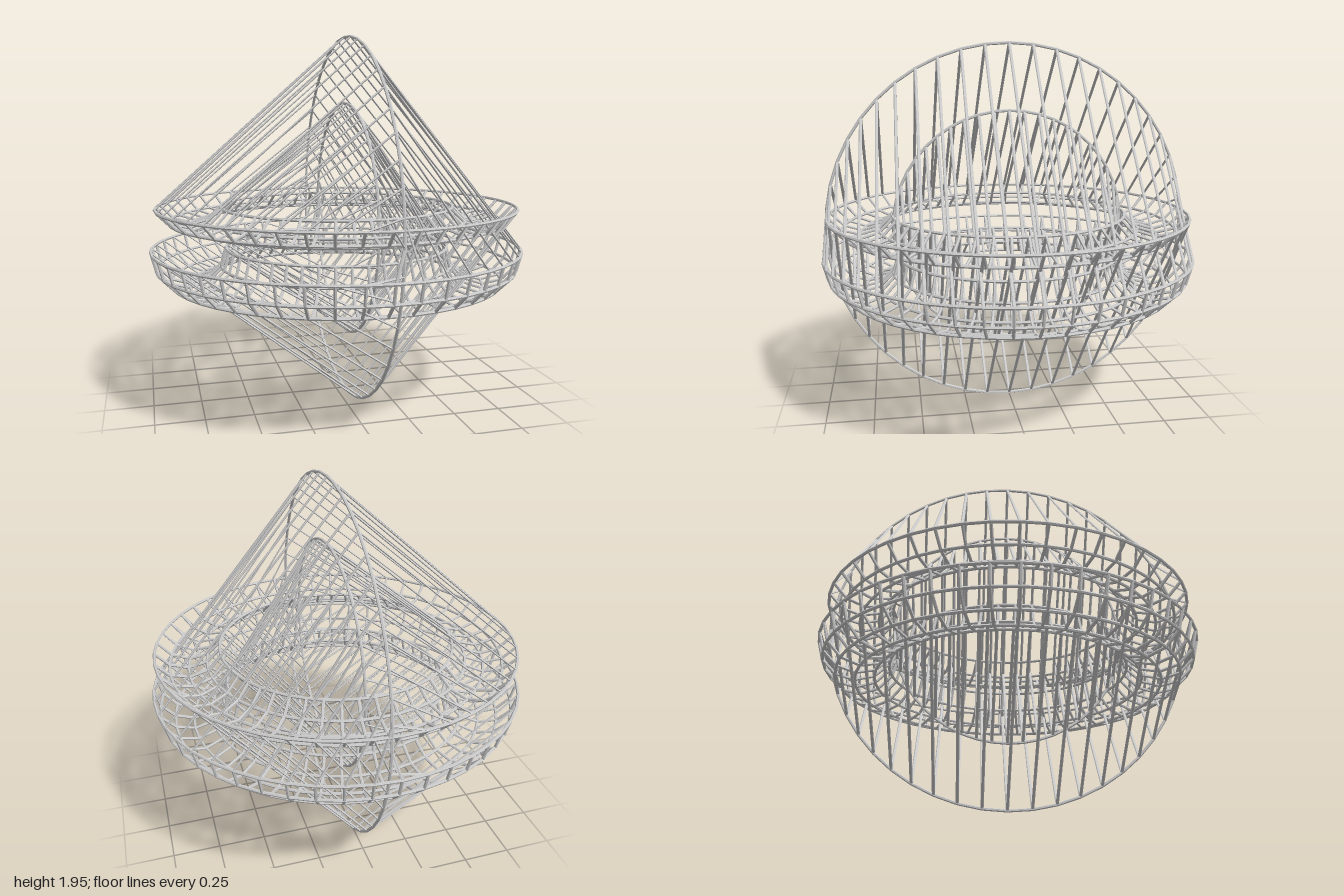
import * as THREE from 'three';
import { mergeGeometries } from 'three/addons/utils/BufferGeometryUtils.js';

const SEG = 48;         // divisions around every ring
const WIRE = 0.008;     // wire radius
const SIDES = 6;
const R = 0.795, TUBE = 0.195;   // channel centre line and section radius
const LOW_Y = 0.828, HIGH_Y = 1.145;
const HOOP = { x: 0.045, y: 0.976, outer: 0.965, inner: 0.62 };
const UP = new THREE.Vector3(0, 1, 0);

const material = new THREE.MeshStandardMaterial({ color: 0xcccccc, flatShading: true });

// Straight wire between two points; flat < 1 thins it across its x axis
function strut(a, b, flat = 1) {
  const dir = b.clone().sub(a);
  const g = new THREE.CylinderGeometry(WIRE, WIRE, dir.length(), SIDES, 1, true).scale(flat, 1, 1);
  g.applyQuaternion(new THREE.Quaternion().setFromUnitVectors(UP, dir.normalize()));
  const mid = a.clone().add(b).multiplyScalar(0.5);
  return g.translate(mid.x, mid.y, mid.z);
}

function addMesh(group, name, parts) {
  const mesh = new THREE.Mesh(mergeGeometries(parts), material);
  mesh.name = name;
  group.add(mesh);
}

const onCircle = (radius, y, a) => new THREE.Vector3(radius * Math.cos(a), y, radius * Math.sin(a));

// Trough of wire rings and ribs: an arc of a torus section, angles in 30 degree steps
function channel(group, name, y, first, last) {
  const rings = [], ribs = [], profile = [];
  for (let k = first; k <= last; k++) {
    const t = k * Math.PI / 6;
    profile.push([R + TUBE * Math.cos(t), y - TUBE * Math.sin(t)]);
  }
  for (const [radius, h] of profile) {
    rings.push(new THREE.TorusGeometry(radius, WIRE, SIDES, SEG).rotateX(Math.PI / 2).translate(0, h, 0));
  }
  for (let i = 0; i < SEG; i++) {
    const a = i * 2 * Math.PI / SEG;
    for (let k = 0; k + 1 < profile.length; k++) {
      ribs.push(strut(onCircle(...profile[k], a), onCircle(...profile[k + 1], a)));
    }
  }
  addMesh(group, name + 'Rings', rings);
  addMesh(group, name + 'Ribs', ribs);
  return { inner: profile[profile.length - 1], outer: profile[0] };
}

// Sheet of flattened wires from half of the upright hoop to half of a channel rim
function sheet(group, name, hoopRadius, rim, sideX, sideY) {
  const parts = [];
  for (let i = 0; i <= SEG / 2; i++) {
    const a = i * 2 * Math.PI / SEG, s = Math.sin(a), c = Math.cos(a);
    parts.push(strut(
      new THREE.Vector3(HOOP.x, HOOP.y + sideY * hoopRadius * s, hoopRadius * c),
      new THREE.Vector3(sideX * rim[0] * s, rim[1], rim[0] * c), 0.6));
  }
  addMesh(group, name, parts);
}

export function createModel() {
  const group = new THREE.Group();
  group.name = 'wireFoldedRing';

  const lower = channel(group, 'lowerChannel', LOW_Y, 0, 6);
  const upper = channel(group, 'upperChannel', HIGH_Y, 1, 5);

  // Upright hoop pair, then the four sheets; those on the +x side cross each other
  for (const level of ['outer', 'inner']) {
    const radius = HOOP[level];
    addMesh(group, level + 'Hoop', [
      new THREE.TorusGeometry(radius, WIRE, SIDES, SEG).rotateY(Math.PI / 2).translate(HOOP.x, HOOP.y, 0)]);
    sheet(group, level + 'UpperRightSheet', radius, upper[level], -1, 1);
    sheet(group, level + 'LowerRightSheet', radius, lower[level], -1, -1);
    sheet(group, level + 'UpperLeftSheet', radius, lower[level], 1, 1);
    sheet(group, level + 'LowerLeftSheet', radius, upper[level], 1, -1);
  }
  return group;
}
